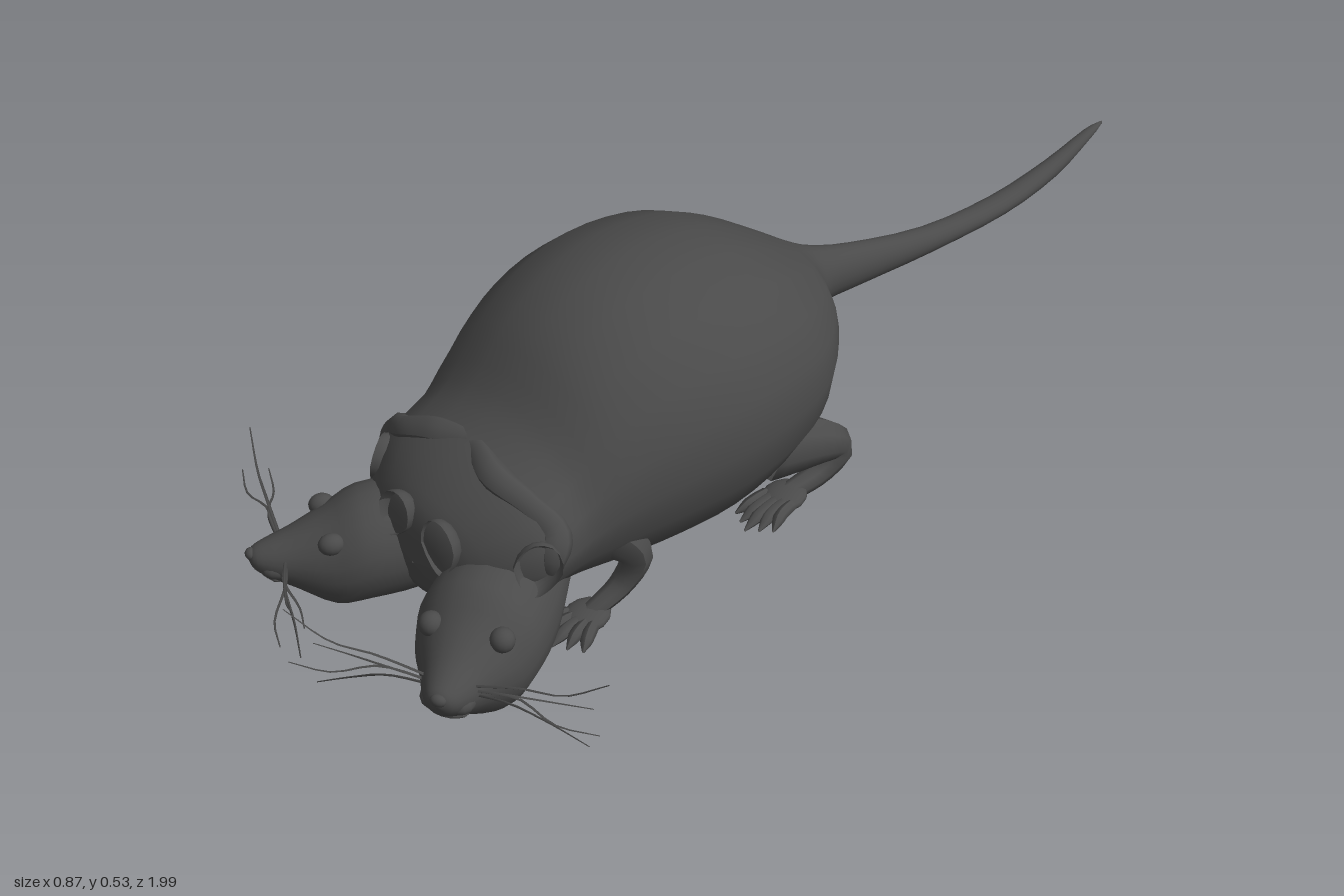
import * as THREE from 'three';

const fur = new THREE.MeshStandardMaterial({ color: 0x4a4a4a, side: THREE.DoubleSide });
fur.name = 'dark grey fur';

const V = (x, y, z) => new THREE.Vector3(x, y, z);

function add(parent, geometry, name, position) {
  const mesh = new THREE.Mesh(geometry, fur);
  mesh.name = name;
  if (position) mesh.position.copy(position);
  parent.add(mesh);
  return mesh;
}

// Smooth skin through elliptical rings [z, centreY, radiusX, radiusY]
function loft(rings, sides, steps = 3) {
  const axis = new THREE.CatmullRomCurve3(rings.map(r => V(r[0], r[1], 0)), false, 'catmullrom', 0.5);
  const size = new THREE.CatmullRomCurve3(rings.map(r => V(r[2], r[3], 0)), false, 'catmullrom', 0.5);
  const count = (rings.length - 1) * steps;
  const pos = [], index = [];
  for (let i = 0; i <= count; i++) {
    const a = axis.getPoint(i / count), s = size.getPoint(i / count);
    for (let j = 0; j < sides; j++) {
      const t = (j / sides) * Math.PI * 2;
      pos.push(Math.cos(t) * Math.max(s.x, 0.001), a.y + Math.sin(t) * Math.max(s.y, 0.001), a.x);
      if (i === count) continue;
      const p = i * sides + j, q = i * sides + (j + 1) % sides;
      index.push(p, q, p + sides, q, q + sides, p + sides);
    }
  }
  const g = new THREE.BufferGeometry();
  g.setAttribute('position', new THREE.Float32BufferAttribute(pos, 3));
  g.setIndex(index);
  g.computeVertexNormals();
  return g;
}

// Tube whose radius follows a list of values along the path
function taperTube(points, radii, steps = 14, sides = 8) {
  const path = new THREE.CatmullRomCurve3(points);
  const g = new THREE.TubeGeometry(path, steps, 1, sides);
  const p = g.attributes.position, v = V(0, 0, 0);
  for (let i = 0; i < p.count; i++) {
    const t = Math.floor(i / (sides + 1)) / steps;
    const c = path.getPointAt(t);
    const k = t * (radii.length - 1), n = Math.min(Math.floor(k), radii.length - 2);
    const r = THREE.MathUtils.lerp(radii[n], radii[n + 1], k - n);
    v.fromBufferAttribute(p, i).sub(c).multiplyScalar(r).add(c);
    p.setXYZ(i, v.x, v.y, v.z);
  }
  g.computeVertexNormals();
  return g;
}

function ball(rx, ry, rz) {
  return new THREE.SphereGeometry(1, 14, 10).scale(rx, ry, rz);
}

function makeHead(name) {
  const head = new THREE.Group();
  head.name = name;
  add(head, loft([
    [-0.18, 0.015, 0.085, 0.085], [-0.08, 0.0, 0.104, 0.105], [0, -0.005, 0.108, 0.109],
    [0.055, -0.023, 0.092, 0.094], [0.11, -0.016, 0.06, 0.06], [0.15, -0.008, 0.039, 0.037],
    [0.172, -0.003, 0.023, 0.021], [0.18, 0, 0.002, 0.002],
  ], 20), 'skull');
  add(head, ball(0.014, 0.011, 0.01), 'nose', V(0, 0.008, 0.174));
  add(head, ball(0.034, 0.008, 0.018), 'lowerLip', V(0, -0.042, 0.138));

  for (const s of [-1, 1]) {
    add(head, ball(0.021, 0.021, 0.021), 'eye', V(s * 0.06, 0.048, 0.055));
    add(head, ball(0.024, 0.02, 0.026), 'muzzlePad', V(s * 0.022, -0.018, 0.138));

    // Cupped ear, open to the front and narrowing to its root
    const cup = new THREE.SphereGeometry(1, 16, 7, 0, Math.PI * 2, 0, Math.PI * 0.56);
    cup.rotateX(-Math.PI / 2).scale(0.04, 0.05, 0.03);
    const p = cup.attributes.position;
    for (let i = 0; i < p.count; i++) {
      if (p.getY(i) < 0) p.setX(i, p.getX(i) * (1 + p.getY(i) * 7));
    }
    cup.computeVertexNormals();
    const ear = add(head, cup, 'ear', V(s * 0.083, 0.115, -0.045));
    ear.rotation.set(-0.15, s * 0.45, -s * 0.15);

    // Fine drooping whiskers
    for (const [reach, rise, forward] of [[0.27, 0.09, 0.14], [0.26, 0.0, 0.16], [0.235, 0.012, 0.12], [0.23, -0.06, 0.13]]) {
      add(head, taperTube([
        V(s * 0.03, -0.005 + rise * 0.1, 0.125),
        V(s * reach * 0.45, 0.012 + rise * 0.25, 0.135),
        V(s * reach * 0.72, rise * 0.5, forward),
        V(s * reach, rise, forward),
      ], [0.003, 0.0022, 0.001], 10, 4), 'whisker');
    }
  }
  return head;
}

// Paw with fanned toes; s is the side of the body
function addPaw(parent, name, s, x, z, length, spread) {
  const paw = new THREE.Group();
  paw.name = name;
  paw.position.set(s * x, 0.036, z);
  add(paw, ball(0.038, 0.016, 0.045), 'palm');
  for (let i = -2; i <= 2; i++) {
    const reach = length * (1 - Math.abs(i) * 0.12);
    add(paw, taperTube([
      V(i * 0.013, 0.002, 0.015),
      V(i * spread * 0.75, 0.004, reach * 0.6),
      V(i * spread, -0.004, reach),
    ], [0.011, 0.012, 0.011, 0.002], 8, 7), 'toe');
  }
  paw.rotation.y = s * 0.12;
  parent.add(paw);
}

export function createModel() {
  const model = new THREE.Group();
  model.name = 'twoHeadedRodent';

  // Tail and plump body in one skin
  add(model, loft([
    [-1, 0.207, 0.002, 0.003], [-0.96, 0.2, 0.011, 0.009], [-0.85, 0.172, 0.019, 0.018],
    [-0.7, 0.163, 0.024, 0.019], [-0.5, 0.185, 0.025, 0.026], [-0.3, 0.232, 0.033, 0.044],
    [-0.2, 0.262, 0.046, 0.057], [-0.15, 0.275, 0.075, 0.075], [-0.1, 0.28, 0.15, 0.107],
    [0, 0.275, 0.232, 0.185], [0.1, 0.275, 0.268, 0.235], [0.23, 0.277, 0.28, 0.257],
    [0.35, 0.272, 0.263, 0.249], [0.45, 0.255, 0.236, 0.218], [0.53, 0.23, 0.214, 0.166],
    [0.58, 0.222, 0.214, 0.14], [0.63, 0.212, 0.208, 0.125], [0.68, 0.198, 0.165, 0.105],
    [0.72, 0.182, 0.1, 0.075], [0.735, 0.175, 0.002, 0.002],
  ], 20), 'bodyAndTail');

  // Wrinkled fold of skin over the necks
  const fold = [];
  for (let i = 0; i <= 10; i++) {
    const a = -0.35 + (i / 10) * (Math.PI + 0.7);
    fold.push(V(Math.cos(a) * 0.205, 0.215 + Math.sin(a) * 0.118, 0.605 + 0.014 * Math.sin(i * 2.1)));
  }
  add(model, taperTube(fold, [0.005, 0.026, 0.022, 0.027, 0.02, 0.027, 0.022, 0.026, 0.005], 44, 8), 'neckFold');

  // Two heads turned apart, the left one broader and lower
  const leftHead = makeHead('leftHead');
  leftHead.position.set(0.155, 0.12, 0.73);
  leftHead.rotation.y = 0.45;
  const rightHead = makeHead('rightHead');
  rightHead.position.set(-0.13, 0.145, 0.73);
  rightHead.rotation.y = -0.54;
  rightHead.scale.set(0.87, 0.88, 1.05);
  model.add(leftHead, rightHead);

  // Legs and paws
  for (const s of [-1, 1]) {
    add(model, taperTube([
      V(s * 0.16, 0.2, 0.48), V(s * 0.2, 0.13, 0.435), V(s * 0.19, 0.075, 0.455), V(s * 0.175, 0.036, 0.52),
    ], [0.045, 0.038, 0.025, 0.02, 0.016]), 'frontLeg');
    addPaw(model, 'frontPaw', s, 0.175, 0.525, 0.09, 0.025);

    add(model, taperTube([
      V(s * 0.16, 0.13, 0.09), V(s * 0.2, 0.115, 0.0), V(s * 0.205, 0.08, -0.045),
      V(s * 0.2, 0.045, -0.01), V(s * 0.195, 0.036, 0.07),
    ], [0.06, 0.048, 0.03, 0.022, 0.018]), 'hindLeg');
    addPaw(model, 'hindPaw', s, 0.195, 0.08, 0.11, 0.02);
  }
  return model;
}
